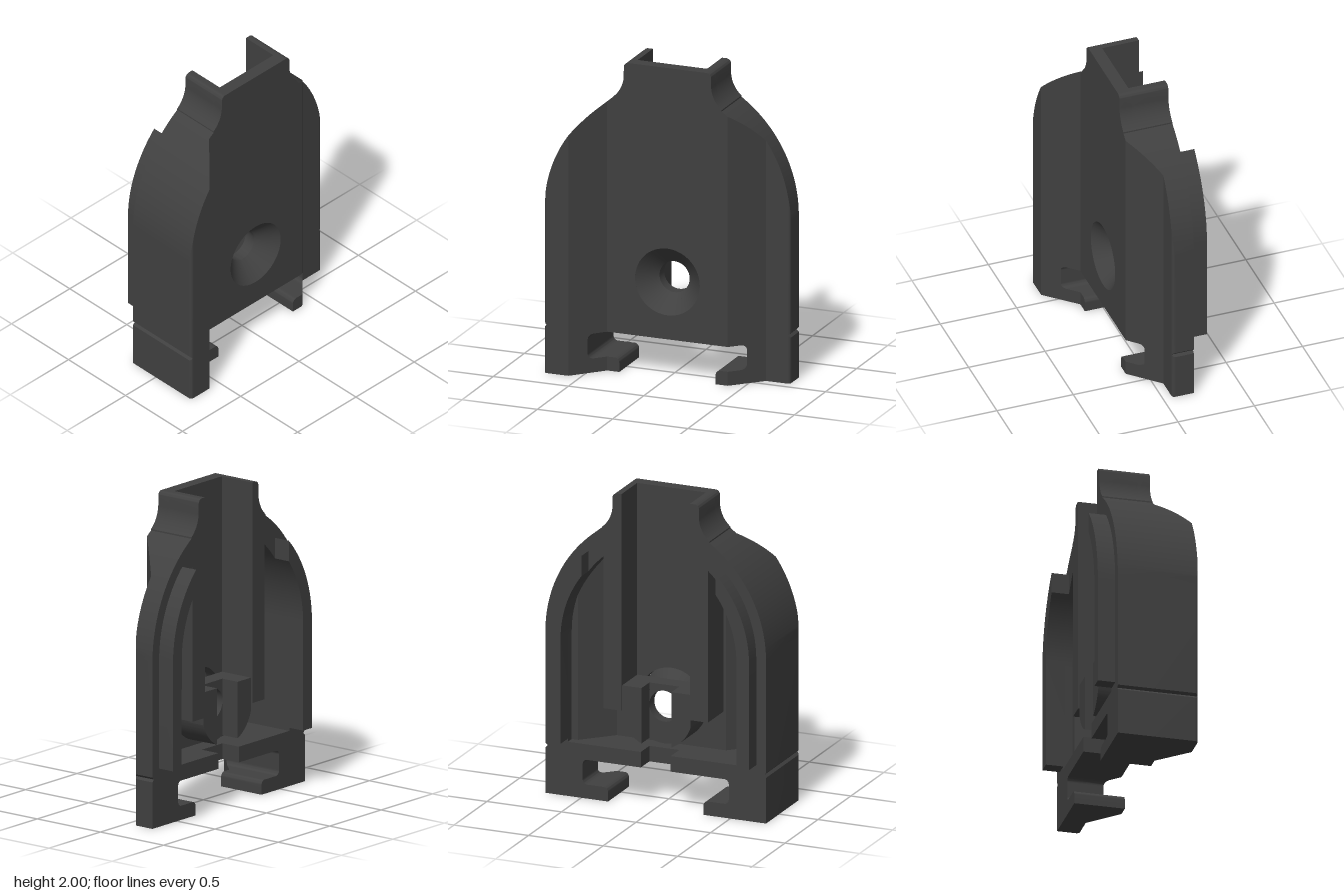
import * as THREE from 'three';
import { toCreasedNormals } from 'three/addons/utils/BufferGeometryUtils.js';

const material = new THREE.MeshStandardMaterial({ color: 0x404040 });
const holeMaterial = new THREE.MeshStandardMaterial({ color: 0x404040, side: THREE.DoubleSide });

const HOLE_Y = 0.62;
const circ = (r, d) => Math.sqrt(Math.max(0, r * r - d * d));

// piecewise linear function through [x, z] points
const through = (pts) => (x) => {
  if (x <= pts[0][0]) return pts[0][1];
  for (let i = 1; i < pts.length; i++) {
    const [x0, z0] = pts[i - 1], [x1, z1] = pts[i];
    if (x <= x1) return z0 + ((z1 - z0) * (x - x0)) / (x1 - x0);
  }
  return pts[pts.length - 1][1];
};

// depth of the outer front face (with softened side edges) and of the inner floor
const faceLine = through([[-0.58, 0.31], [-0.4, 0.12], [0.4, 0.12], [0.58, -0.06]]);
const face = (x) => faceLine(x) - (Math.abs(x) > 0.72 ? 0.02 - circ(0.02, Math.abs(x) - 0.72) : 0);
const floor = through([[-0.547, 0.23], [-0.367, 0.04], [0.367, 0.04], [0.547, -0.14]]);

// shoulder arcs share one centre; heights are functions of |x|
const arc = (r) => (x) => 1.05 + circ(r, x + 0.12);
const outer = arc(0.86), ridgeTop = arc(0.795), cavityTop = arc(0.71);
const outline = (x) => {
  if (x <= 0.26) return 2;
  if (x <= 0.29) return 1.97 + circ(0.03, x - 0.26);
  if (x <= 0.36) return 1.92 - circ(0.19, x - 0.48);
  return outer(x);
};

// bottom slot with rounded corners
const slotTop = (x) => (x < 0.46 ? 0.25 : 0.22 + circ(0.03, x - 0.46));
const hookTop = (x) => {
  if (x < 0.35) return 0.06 + circ(0.03, 0.35 - x);
  return x < 0.46 ? 0.09 : 0.12 - circ(0.03, x - 0.46);
};

const BREAKS = [0.1, 0.135, 0.215, 0.23, 0.26, 0.29, 0.32, 0.35, 0.36, 0.367, 0.4, 0.46,
  0.49, 0.547, 0.58, 0.59, 0.675, 0.72, 0.725];
const asFn = (v) => (typeof v === 'function' ? v : () => v);

// solid between lower/upper heights and back/front depths, swept along x
function column(a, b, lo, hi, back, front, side) {
  [lo, hi, back, front] = [lo, hi, back, front].map(asFn);
  const stops = [a, ...BREAKS.filter((v) => v > a + 1e-6 && v < b - 1e-6), b];
  let xs = [a];
  for (let s = 1; s < stops.length; s++) {
    const n = 12;
    for (let i = 1; i <= n; i++) {
      const t = (1 - Math.cos((Math.PI * i) / n)) / 2;
      xs.push(stops[s - 1] + (stops[s] - stops[s - 1]) * t);
    }
  }
  if (side < 0) xs = xs.reverse();
  const rings = xs.map((d) => {
    const x = d * side, y0 = lo(d), y1 = Math.max(y0, hi(d)), z0 = back(x), z1 = front(x);
    return [[x, y0, z0], [x, y0, z1], [x, y1, z1], [x, y1, z0]].map((p) => new THREE.Vector3(...p));
  });
  const pos = [];
  const tri = (p, q, r) => {
    const area = q.clone().sub(p).cross(r.clone().sub(p)).length();
    if (area > 1e-10) for (const v of [p, q, r]) pos.push(v.x, v.y, v.z);
  };
  const quad = (p, q, r, s) => { tri(p, q, r); tri(p, r, s); };
  for (let i = 1; i < rings.length; i++) {
    const A = rings[i - 1], B = rings[i];
    for (let k = 0; k < 4; k++) {
      const m = (k + 1) % 4;
      quad(A[k], B[k], B[m], A[m]);
    }
  }
  const S = rings[0], E = rings[rings.length - 1];
  quad(S[0], S[1], S[2], S[3]);
  quad(E[0], E[3], E[2], E[1]);
  const geo = new THREE.BufferGeometry();
  geo.setAttribute('position', new THREE.Float32BufferAttribute(pos, 3));
  return toCreasedNormals(geo, 0.5);
}

export function createModel() {
  const model = new THREE.Group();

  // one column on each side of the middle
  const pair = (name, a, b, lo, hi, back, front) => {
    const group = new THREE.Group();
    group.name = name;
    for (const side of [1, -1]) {
      const mesh = new THREE.Mesh(column(a, b, lo, hi, back, front, side), material);
      mesh.name = name + (side > 0 ? 'Left' : 'Right');
      group.add(mesh);
    }
    model.add(group);
  };

  // front wall, open around the countersink
  pair('frontWallAboveHole', 0, 0.215, (x) => HOLE_Y + circ(0.215, x), outline, floor, face);
  pair('frontWallBelowHole', 0, 0.215, 0.25, (x) => HOLE_Y - circ(0.215, x), floor, face);
  pair('frontWall', 0.215, 0.49, slotTop, outline, floor, face);
  pair('frontWallOuter', 0.49, 0.59, 0, outline, floor, face);

  // outer rim, with a small groove near the foot
  const groove = (x) => Math.max(0, x - 0.725);
  pair('shoulderRim', 0.35, 0.59, cavityTop, outline, -0.2, floor);
  pair('sideWall', 0.59, 0.725, 0, outline, -0.2, face);
  pair('sideSkin', 0.725, 0.74, (x) => 0.31 + groove(x), outline, -0.2, face);
  pair('footSkin', 0.725, 0.74, 0, (x) => 0.31 - groove(x), -0.2, face);

  // raised curved ridges on the back
  pair('backRidge', 0.45, 0.675, (x) => (x < 0.59 ? cavityTop(x) : 0.37), ridgeTop, -0.31, -0.19);

  // ribs beside the central channel
  pair('channelRib', 0.23, 0.35, 0.6, outline, -0.2, floor);

  // bottom plate, feet and hooks around the slot
  pair('bottomPlate', 0.1, 0.49, slotTop, 0.35, -0.2, floor);
  pair('bottomPlateMiddle', 0, 0.1, 0.25, 0.35, -0.07, floor);
  pair('foot', 0.49, 0.6, 0, 0.35, -0.2, floor);
  pair('hook', 0.32, 0.49, 0, hookTop, -0.2, face);

  // screw boss with a rear slot
  const bossLow = (x) => HOLE_Y - circ(0.24, x);
  pair('bossUpper', 0, 0.23, (x) => HOLE_Y + circ(0.135, x), 0.76, -0.07, 0.04);
  pair('bossLower', 0, 0.24, bossLow, (x) => HOLE_Y - circ(0.135, x), -0.07, 0.04);
  pair('bossCheek', 0.1, 0.23, bossLow, 0.76, -0.19, -0.07);

  // countersunk screw hole
  const profile = [[0.135, -0.07], [0.1, -0.07], [0.1, 0.005], [0.215, 0.12]];
  const lathe = new THREE.LatheGeometry(profile.map((p) => new THREE.Vector2(...p)), 64);
  lathe.rotateX(Math.PI / 2).translate(0, HOLE_Y, 0);
  const hole = new THREE.Mesh(toCreasedNormals(lathe, 0.5), holeMaterial);
  hole.name = 'screwHole';
  model.add(hole);

  return model;
}
